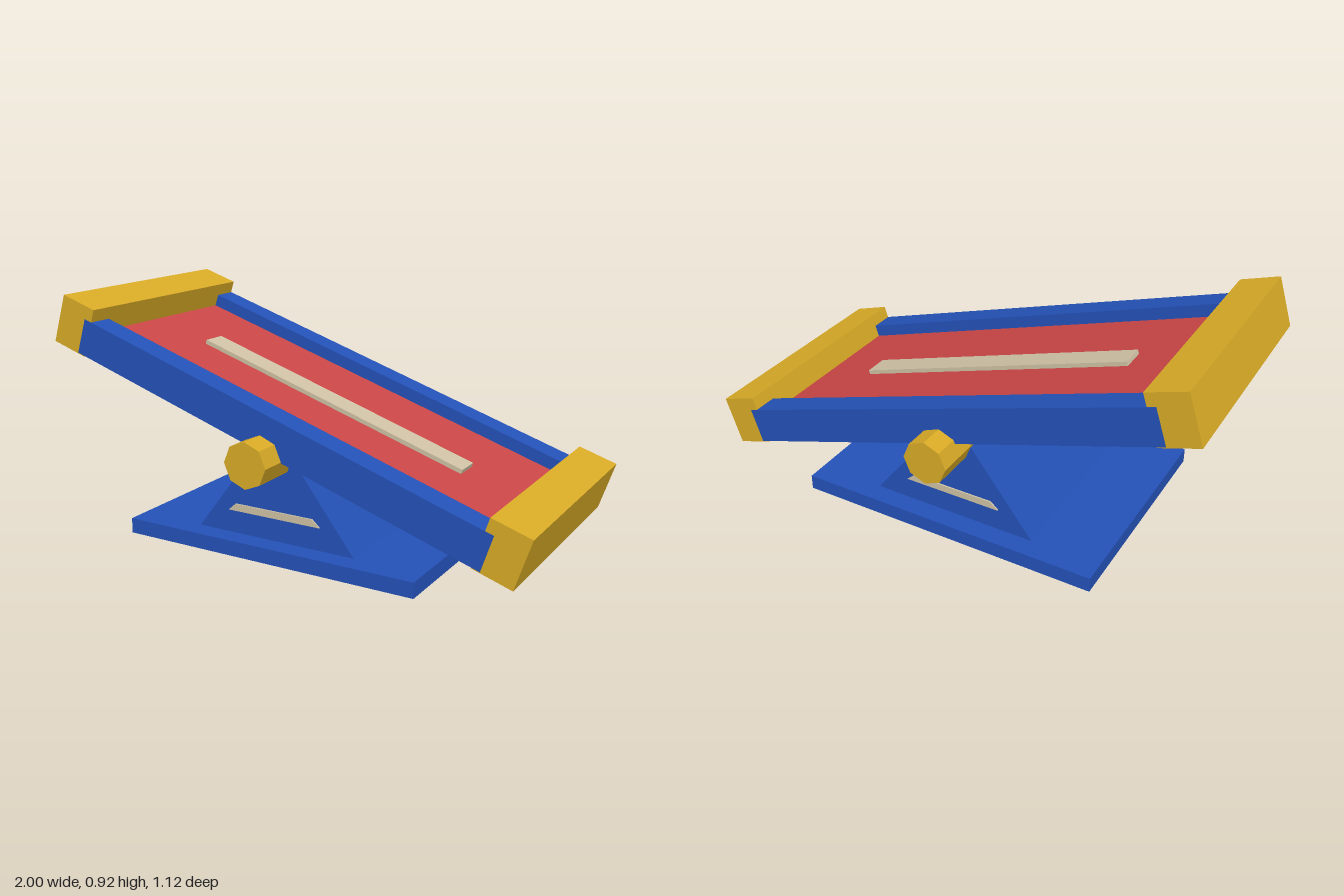
import * as THREE from 'three';

export function createModel() {
  const root = new THREE.Group();
  root.name = 'tiltingRamp';

  const material = (name, color) => {
    const m = new THREE.MeshStandardMaterial({ color });
    m.name = name;
    return m;
  };
  const blue = material('blue', 0x2452b8);
  const yellow = material('yellow', 0xd9ab26);
  const red = material('red', 0xca4646);
  const cream = material('cream', 0xcfc2a5);

  const add = (parent, name, geometry, mat, x = 0, y = 0, z = 0) => {
    const mesh = new THREE.Mesh(geometry, mat);
    mesh.name = name;
    mesh.position.set(x, y, z);
    parent.add(mesh);
    return mesh;
  };
  const box = (w, h, d) => new THREE.BoxGeometry(w, h, d);

  // Trapezoid from y0 to y1, extruded symmetrically along z
  const trapezoid = (halfBottom, halfTop, y0, y1, depth) => {
    const shape = new THREE.Shape([
      new THREE.Vector2(-halfBottom, y0),
      new THREE.Vector2(halfBottom, y0),
      new THREE.Vector2(halfTop, y1),
      new THREE.Vector2(-halfTop, y1),
    ]);
    return new THREE.ExtrudeGeometry(shape, { depth, bevelEnabled: false }).translate(0, 0, -depth / 2);
  };

  // Fixed stand: foot plate, wedge support and side stripes
  const stand = new THREE.Group();
  stand.name = 'stand';
  stand.position.x = -0.033;
  root.add(stand);
  add(stand, 'footPlate', box(1.235, 0.06, 0.92), blue, 0, 0.03);
  add(stand, 'wedgeSupport', trapezoid(0.34, 0.046, 0.06, 0.44, 0.76), blue);
  for (const side of [-1, 1]) {
    add(stand, 'wedgeStripe', trapezoid(0.2, 0.168, 0.15, 0.178, 0.008), cream, 0, 0, side * 0.382);
  }

  // Eight-sided pivot axle with corners at top and sides
  const axle = new THREE.CylinderGeometry(0.088, 0.088, 1.12, 8).rotateX(Math.PI / 2).toNonIndexed();
  axle.computeVertexNormals();
  add(stand, 'pivotAxle', axle, yellow, 0, 0.402);

  // Tilted deck
  const deck = new THREE.Group();
  deck.name = 'deck';
  deck.position.y = 0.5165;
  deck.rotation.z = -Math.PI / 10;
  root.add(deck);
  add(deck, 'deckPanel', box(1.79, 0.09, 0.74), red, 0, -0.048);
  add(deck, 'centreStrip', box(1.2, 0.022, 0.1), cream, 0, 0.003);
  for (const side of [-1, 1]) {
    // Rails sit a hair proud of the end caps they run into
    add(deck, 'sideRail', box(1.79, 0.142, 0.101), blue, 0, -0.024, side * 0.4105);
    add(deck, 'endCap', box(0.156, 0.197, 0.92), yellow, side * 0.94, 0, 0);
  }

  return root;
}
